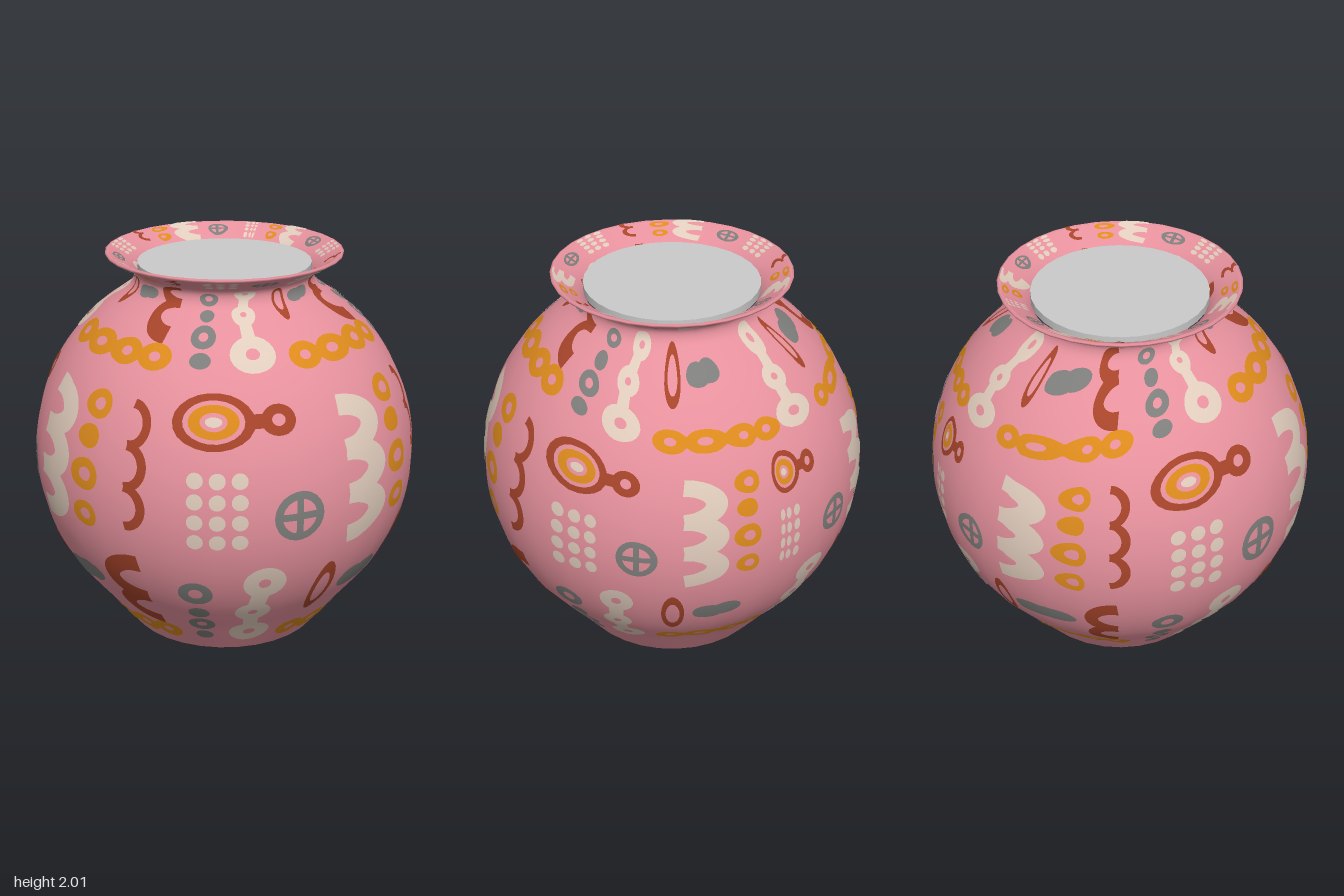
import * as THREE from 'three';
import { mergeGeometries } from 'three/addons/utils/BufferGeometryUtils.js';

const { clamp, smoothstep, lerp, euclideanModulo } = THREE.MathUtils;
const SIDES = 32, RAD = Math.PI / 180, PERIOD = 100, ROW = 97, FOOT = -62.2;

// Outside stations (radius, height, pattern latitude): a near-sphere with a wider foot, then the flared neck
const outside = [];
for (let i = 0; i <= 17; i++) {
  const v = FOOT + i * 7.06;
  const R = 0.985 + 0.09 * (Math.max(0, -40 - v) / 22.2) ** 2;
  outside.push([R * Math.cos(v * RAD), Math.max(0, 0.951 + R * Math.sin(v * RAD)), v]);
}
outside.push([0.467, 1.83, 65], [0.452, 1.88, 72], [0.48, 1.92, 84], [0.55, 1.96, 100], [0.597, 1.985, 112]);
const inside = [[0.42, 1.84, 65], [0.435, 1.885, 72], [0.48, 1.935, 84], [0.55, 1.978, 100], [0.59, 2, 112]];

// Smooth a profile and add a normal (side = 1 outside, -1 inside)
function makeProfile(stations, side) {
  const curve = new THREE.CatmullRomCurve3(stations.map((p) => new THREE.Vector3(...p)));
  const pts = curve.getPoints((stations.length - 1) * 3);
  return pts.map((p, i) => {
    const a = pts[Math.max(i - 1, 0)], b = pts[Math.min(i + 1, pts.length - 1)];
    const n = new THREE.Vector2(b.y - a.y, a.x - b.x).normalize().multiplyScalar(side);
    return { r: p.x, y: p.y, v: p.z, nr: n.x, ny: n.y };
  });
}
const outer = makeProfile(outside, 1), inner = makeProfile(inside, -1);

// Hollowed underside
function basePoint(r) {
  const n = new THREE.Vector2(-0.8 * r, -1).normalize();
  return { r, y: 0.1 - 0.4 * r * r, v: lerp(-90, FOOT, r / 0.5), nr: n.x, ny: n.y };
}
const base = [];
for (let i = 0; i <= 10; i++) base.push(basePoint(i * 0.05));

// Profile point at a latitude
function sample(profile, v) {
  const last = profile.length - 1;
  v = clamp(v, profile[0].v, profile[last].v);
  let i = 0;
  while (i < last - 1 && profile[i + 1].v < v) i++;
  const a = profile[i], b = profile[i + 1], t = (v - a.v) / (b.v - a.v);
  const out = {};
  for (const k of ['r', 'y', 'nr', 'ny']) out[k] = lerp(a[k], b[k], t);
  return out;
}

// Uneven spacing of the pattern: longitude drift, and flattening towards the back
const DRIFT = [[-190, 6], [-164, 3], [-143, -4], [-129, 3], [-112, -2], [-89, -3], [-64, -5], [-52, -6], [-43, -4],
  [-29, 0], [57, 0], [72, 5], [88, 4], [111, 3], [135, -2], [157, -6], [171, -5], [191, -12]];
function drift(u) {
  let i = 0;
  while (i < DRIFT.length - 2 && DRIFT[i + 1][0] < u) i++;
  const [a, da] = DRIFT[i], [b, db] = DRIFT[i + 1];
  return u + lerp(da, db, clamp((u - a) / (b - a), 0, 1));
}
function flatten(u, v) {
  const f = 1 - 0.23 * smoothstep(Math.abs(u), 75, 150);
  return v * lerp(f, 1, smoothstep(v, 68, 95));
}

// Wrap a flat piece (longitude, latitude in degrees) onto the faceted wall
function wrap(flat, du, dv, squeeze, u0, isInner) {
  const geo = flat.clone(), pos = geo.attributes.position, nor = geo.attributes.normal;
  const step = 2 * Math.PI / SIDES;
  for (let i = 0; i < pos.count; i++) {
    const deg = drift(u0 + (pos.getX(i) - u0) * squeeze + du);
    const v = flatten(deg, pos.getY(i) + dv), u = deg * RAD;
    const p = sample(isInner ? inner : v < FOOT ? base : outer, v);
    const m = euclideanModulo(u, step) - step / 2;
    const r = p.r * Math.cos(step / 2) / Math.cos(m) + p.nr * 0.004;
    pos.setXYZ(i, r * Math.sin(u), p.y + p.ny * 0.004, r * Math.cos(u));
    nor.setXYZ(i, p.nr * Math.sin(u), p.ny, p.nr * Math.cos(u));
  }
  if (isInner) geo.index.array.reverse();
  return geo;
}

// Lay a flat piece on the underside, centred at (a, b) along axes turned to 140 degrees
function layUnder(flat, { from, at, scale }) {
  const geo = flat.clone(), pos = geo.attributes.position, nor = geo.attributes.normal;
  const s = Math.sin(140 * RAD), c = Math.cos(140 * RAD);
  for (let i = 0; i < pos.count; i++) {
    const a = at[0] + (pos.getX(i) - from[0]) * scale[0], b = at[1] + (pos.getY(i) - from[1]) * scale[1];
    const x = a * c + b * s, z = -a * s + b * c, r = Math.max(Math.hypot(x, z), 0.001);
    const p = basePoint(r), fit = Math.min(1, 0.49 / r);
    pos.setXYZ(i, x * fit, Math.max(p.y, 0) - 0.006, z * fit);
    nor.setXYZ(i, p.nr * x / r, p.ny, p.nr * z / r);
  }
  return geo;
}
const UNDER = {
  ringChain: { from: [-33, -53], at: [0.2, -0.08], scale: [0.011, 0.017] },
  eyeMotif: { from: [17, 27], at: [-0.24, -0.27], scale: [0.009, 0.01] },
  ringTotem: { from: [25, -37], at: [-0.27, 0.12], scale: [0.01, 0.007] },
  scallopBand: { from: [-43, 10], at: [0.06, -0.34], scale: [0.012, 0.006] },
};

// Flat pieces: ring or dot, ribbon along a path, and a row of rounded scallops
function ring(u, v, ro, ri = 0, sx = 1 / Math.cos(v * RAD)) {
  return new THREE.RingGeometry(ri, ro, 22, 2).scale(sx, 1, 1).translate(u, v, 0);
}
function ribbon(points, width) {
  const curve = new THREE.CatmullRomCurve3(points.map(([u, v]) => new THREE.Vector3(u, v, 0)));
  const geo = new THREE.PlaneGeometry(1, 1, points.length * 3, 2), pos = geo.attributes.position;
  for (let i = 0; i < pos.count; i++) {
    const t = pos.getX(i) + 0.5, d = pos.getY(i) * width;
    const p = curve.getPoint(t), g = curve.getTangent(t);
    pos.setXYZ(i, p.x - g.y * d, p.y + g.x * d, 0);
  }
  return geo;
}
function scallops(u, top, bottom, lobes, depth, width) {
  const h = (top - bottom) / lobes / 2, pieces = [];
  for (let k = 0; k < lobes; k++) {
    const points = [];
    for (let i = 0; i <= 8; i++) {
      const a = Math.PI * i / 8;
      points.push([u + depth * Math.sin(a), top - h * (2 * k + 1) + h * Math.cos(a)]);
    }
    pieces.push(ribbon(points, width));
  }
  return pieces;
}

// Motifs of one pattern tile: name, centre longitude, pieces by colour
function makeMotifs() {
  const motifs = [];
  const motif = (name, u0, colours) => motifs.push({ name, u0, colours });

  motif('scallopBand', -43, { cream: scallops(-48, 28, -10, 3, 10, 6) });
  motif('beadColumn', -29, { ochre: [ring(-28, 27.5, 4.3, 1.8), ring(-29, 18, 3.5), ring(-29, 7, 4.7, 2), ring(-29, -5, 4, 1.7)] });
  motif('wavyLine', -12, { rust: scallops(-15, 30, -5, 3, 5.5, 2.7) });
  motif('eyeMotif', 11, {
    rust: [ring(11, 27, 8, 6, 1.6), ring(31, 27, 4.4, 1.7, 1.25), ribbon([[22.5, 27], [27.5, 27]], 4)],
    ochre: [ring(11, 27, 4.8, 2.6, 1.65)],
    cream: [ring(11, 27, 1.4, 0, 1.9)],
  });

  const dots = [];
  for (let i = 0; i < 12; i++) dots.push(ring(6 + (i % 3) * 6.3, 11 - Math.floor(i / 3) * 6, 2.3));
  motif('dotGrid', 12, { cream: dots });

  motif('crossedCircle', 35.6, { grey: [ring(35.6, -0.5, 7.4, 5.1),
    ribbon([[29.8, -0.5], [41.4, -0.5]], 2.1), ribbon([[35.6, -6.2], [35.6, 5.2]], 2.1)] });
  motif('lowerScallop', -17, { rust: scallops(-12, -17.5, -46, 2, -11.5, 5.8) });
  motif('greyBeads', 5, { grey: [ring(5, -27, 5, 2.1), ring(5, -37.5, 3.1), ring(5, -45.5, 3.9, 1.5), ring(5, -53, 2.5)] });
  motif('ringTotem', 25, { cream: [ring(26.7, -22.5, 6.2, 1.8), ring(24.5, -37, 5.2, 1.4), ring(25.5, -51, 5.8, 1.8),
    ribbon([[26, -27], [25, -33.5]], 6), ribbon([[24.5, -41], [25, -46.5]], 6)] });
  motif('longLoop', 48, { rust: [ring(48, -30, 11.5, 7, 0.38)] });
  motif('twinSpot', -37, { grey: [ring(-39.5, -29.5, 4.4), ring(-34.5, -28.5, 4.2)] });

  const chain = [];
  for (let u = -53; u < -10; u += 13.2) {
    chain.push(ring(u, -53, 4.3, 1.5));
    if (u < -20) chain.push(ribbon([[u + 4.5, -53], [u + 8.7, -53]], 4));
  }
  motif('ringChain', -33, { ochre: chain });
  return motifs;
}

export function createModel() {
  const vase = new THREE.Group();
  vase.name = 'vase';
  const mats = {};
  for (const [name, color] of Object.entries({
    pink: 0xe6919d, cream: 0xe0ccbc, ochre: 0xdc8a1c, rust: 0xa6442a, grey: 0x7d7d7b, paleGrey: 0xcacaca,
  })) {
    mats[name] = new THREE.MeshStandardMaterial({ color });
    mats[name].name = name;
  }
  const add = (parent, name, geo, mat) => {
    const mesh = new THREE.Mesh(geo, mats[mat]);
    mesh.name = name;
    parent.add(mesh);
  };
  const lathe = (points) => new THREE.LatheGeometry(points.map((p) => new THREE.Vector2(p.r, p.y)), SIDES);

  // Turned wall: outside, over the lip, down inside the neck
  add(vase, 'body', lathe([...outer, { r: 0.6, y: 1.995 }, ...inner.slice().reverse()]), 'pink');
  add(vase, 'base', lathe(base), 'pink');

  // Flat plug closing the neck
  add(vase, 'neckPlug', new THREE.CylinderGeometry(0.44, 0.44, 0.04, SIDES).translate(0, 1.92, 0), 'paleGrey');

  // Painted pattern: tile repeated around and up the wall, squeezed at the back seam
  for (const { name, u0, colours } of makeMotifs()) {
    const group = new THREE.Group();
    group.name = name;
    const turns = [];
    for (let k = -2; k <= 2; k++) {
      const u = u0 + k * PERIOD;
      if (u > -176 && u < 178) turns.push([k * PERIOD, 1]);
    }
    if (name === 'eyeMotif' || name === 'dotGrid') turns.push([190 - u0, 0.5]);
    for (const [colour, pieces] of Object.entries(colours)) {
      const parts = [];
      for (const piece of pieces) {
        piece.computeBoundingBox();
        const { min, max } = piece.boundingBox;
        for (const dv of [-ROW, 0, ROW]) {
          if (max.y + dv < -61 || min.y + dv > 109) continue;
          for (const [du, squeeze] of turns) {
            parts.push(wrap(piece, du, dv, squeeze, u0, false));
            if (max.y + dv > 74) parts.push(wrap(piece, du, dv, squeeze, u0, true));
          }
        }
        if (UNDER[name]) parts.push(layUnder(piece, UNDER[name]));
      }
      add(group, `${name} ${colour}`, mergeGeometries(parts), colour);
    }
    vase.add(group);
  }
  return vase;
}
